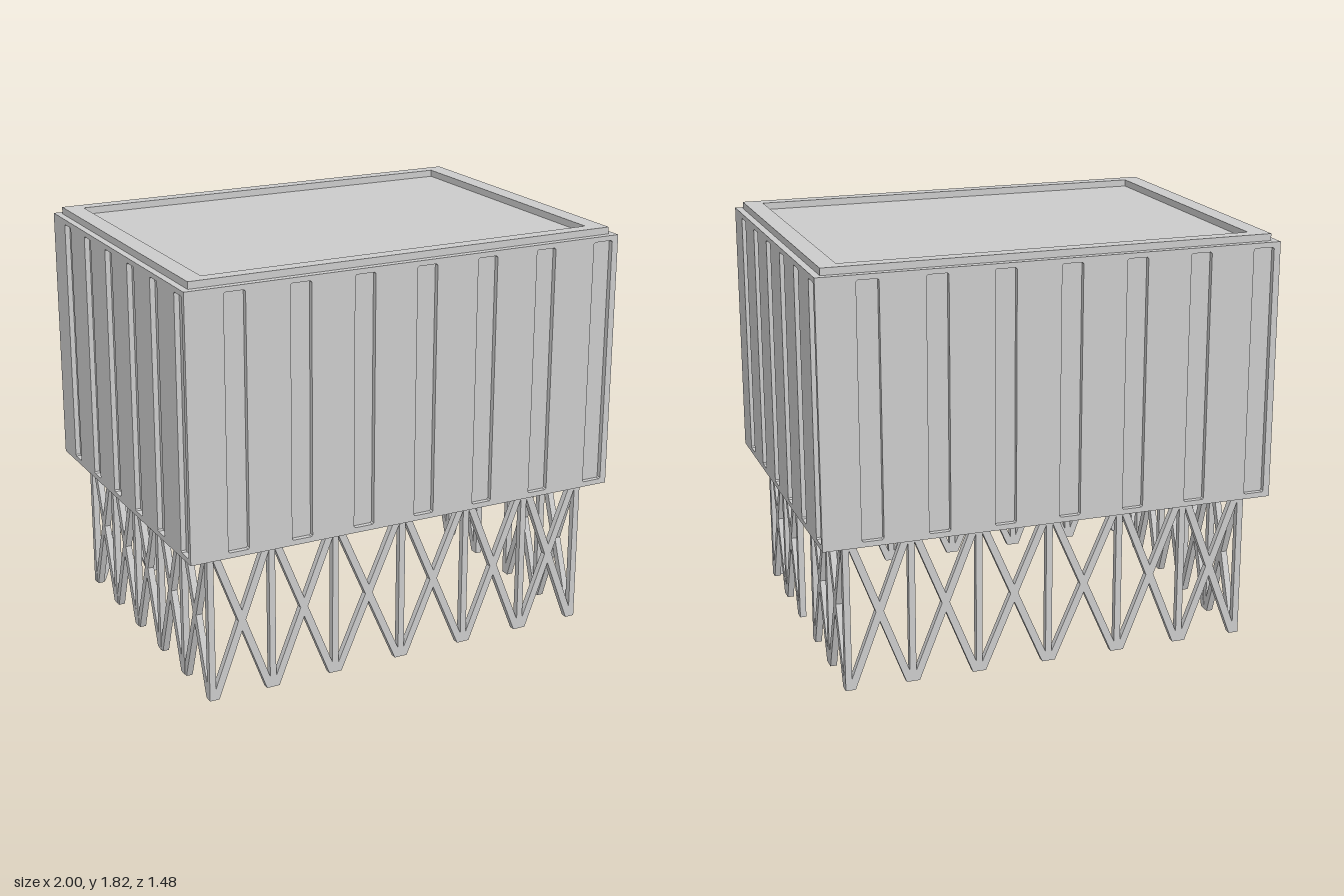
import * as THREE from 'three';

const W = 2, D = 1.48, BASE = 0.655, TOP = 1.785, DEPTH = 0.022;
const mat = new THREE.MeshStandardMaterial({ color: 0xcccccc, flatShading: true });

function add(parent, name, geometry, x = 0, y = 0, z = 0) {
  const mesh = new THREE.Mesh(geometry, mat);
  mesh.name = name;
  mesh.position.set(x, y, z);
  parent.add(mesh);
  return mesh;
}

function rect(P, x0, y0, x1, y1) {
  return new P([[x0, y0], [x1, y0], [x1, y1], [x0, y1]].map(p => new THREE.Vector2(...p)));
}

// Slot outline with slightly clipped corners
function slot(x0, x1, y0, y1, c = 0.006) {
  return new THREE.Path([
    [x0 + c, y0], [x1 - c, y0], [x1, y0 + c], [x1, y1 - c],
    [x1 - c, y1], [x0 + c, y1], [x0, y1 - c], [x0, y0 + c],
  ].map(p => new THREE.Vector2(...p)));
}

// Wall panel with a row of evenly spaced slots cut through it
function wallGeometry(width, count, first, step, slotWidth) {
  const shape = rect(THREE.Shape, -width / 2, BASE, width / 2, TOP);
  for (let i = 0; i < count; i++) {
    const x = first + i * step;
    shape.holes.push(slot(x, x + slotWidth, 0.678, 1.763));
  }
  return new THREE.ExtrudeGeometry(shape, { depth: DEPTH, bevelEnabled: false });
}

// Slanted bar with level ends, from (x0, 0) to (x1, BASE)
function braceGeometry(x0, x1) {
  const g = new THREE.BoxGeometry(0.034, BASE, 0.028);
  const p = g.attributes.position;
  for (let i = 0; i < p.count; i++) {
    const t = p.getY(i) / BASE + 0.5;
    p.setX(i, p.getX(i) + x0 + (x1 - x0) * t);
  }
  g.translate(0, BASE / 2, 0);
  g.computeVertexNormals();
  return g;
}

// Row of crossed braces between neighbouring posts, with optional open bay
function braceRow(name, stops, openBay = -1) {
  const row = new THREE.Group();
  row.name = name;
  for (let i = 0; i < stops.length - 1; i++) {
    if (i === openBay) continue;
    const a = stops[i], b = stops[i + 1];
    add(row, 'risingBrace', braceGeometry(a + 0.012, b - 0.02));
    add(row, 'fallingBrace', braceGeometry(b - 0.012, a + 0.02));
  }
  return row;
}

export function createModel() {
  const model = new THREE.Group();
  model.name = 'raisedTank';

  // Body: solid core faced with slotted walls
  const body = new THREE.Group();
  body.name = 'body';
  model.add(body);
  add(body, 'core', new THREE.BoxGeometry(W - 2 * DEPTH, TOP - BASE, D - 2 * DEPTH), 0, (TOP + BASE) / 2, 0);
  const longWall = wallGeometry(W, 7, -0.835, 0.2855, 0.093);
  const shortWall = wallGeometry(D, 6, -0.597, 0.248, 0.075);
  for (let i = 0; i < 4; i++) {
    const long = i % 2 === 0;
    const side = new THREE.Group();
    side.name = ['frontWall', 'leftWall', 'backWall', 'rightWall'][i];
    side.rotation.y = i * Math.PI / 2;
    add(side, 'slottedPanel', long ? longWall : shortWall, 0, 0, (long ? D : W) / 2 - DEPTH);
    body.add(side);
  }

  // Raised rim around the roof
  const rim = rect(THREE.Shape, -0.97, -0.71, 0.97, 0.71);
  rim.holes.push(rect(THREE.Path, -0.89, -0.65, 0.89, 0.65));
  const rimGeometry = new THREE.ExtrudeGeometry(rim, { depth: 0.03, bevelEnabled: false });
  add(body, 'roofRim', rimGeometry, 0, TOP, 0).rotation.x = -Math.PI / 2;

  // Posts and braces under the edges of the body
  const legs = new THREE.Group();
  legs.name = 'supportFrame';
  model.add(legs);
  const xs = [-0.892, -0.615, -0.32, 0, 0.315, 0.61, 0.89];
  const zs = [-0.668, -0.398, -0.135, 0.135, 0.398, 0.668];
  const post = new THREE.BoxGeometry(0.028, BASE, 0.028);
  for (const x of xs) {
    for (const z of zs) {
      const edge = x === xs[0] || x === xs[6] || z === zs[0] || z === zs[5];
      if (edge) add(legs, 'post', post, x, BASE / 2, z);
    }
  }
  for (const s of [1, -1]) {
    const row = braceRow(s > 0 ? 'frontBraces' : 'backBraces', xs);
    row.position.z = s * zs[5];
    legs.add(row);
    // The middle bay of the left side stays open
    const sideRow = braceRow(s > 0 ? 'leftBraces' : 'rightBraces', zs, s > 0 ? 2 : -1);
    sideRow.rotation.y = Math.PI / 2;
    sideRow.position.x = s * xs[6];
    legs.add(sideRow);
  }
  return model;
}
